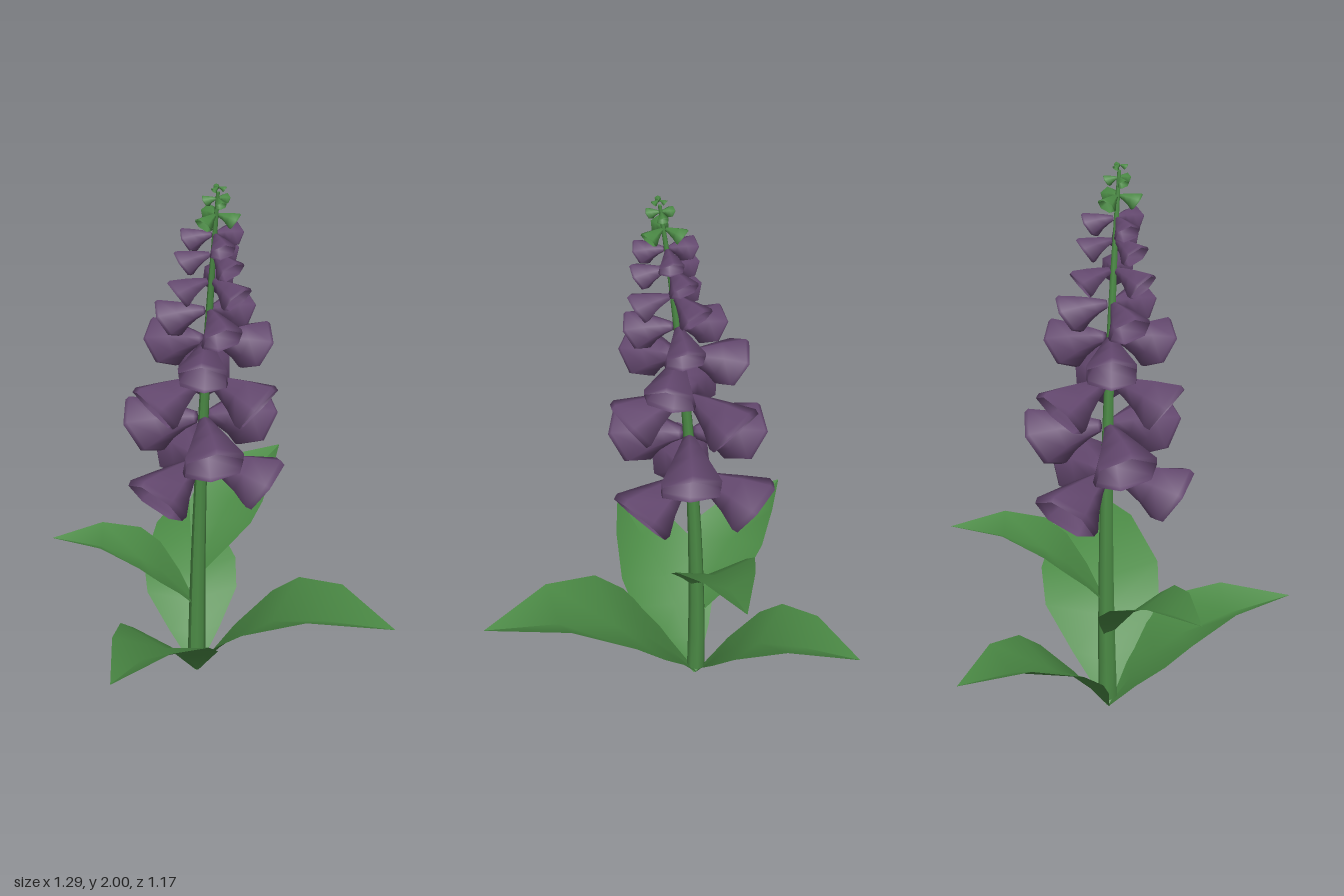
import * as THREE from 'three';

const green = new THREE.MeshStandardMaterial({ color: 0x4b8a45, side: THREE.DoubleSide });
green.name = 'leafGreen';
const purple = new THREE.MeshStandardMaterial({ color: 0x64486f, side: THREE.DoubleSide });
purple.name = 'petalPurple';

// Centre line of the leaning stem
function stemAt(y) {
  const t = y / 2;
  return new THREE.Vector3(-0.15 - 0.01 * t + 0.15 * t * t, y, -0.055 - 0.04 * t + 0.07 * t * t);
}

// Skin a list of equally long point rows into a smooth surface
function skin(rows, closed) {
  const n = rows[0].length, index = [];
  for (let i = 0; i < rows.length - 1; i++) {
    for (let j = 0; j < (closed ? n : n - 1); j++) {
      const k = (j + 1) % n;
      const a = i * n + j, b = i * n + k, c = a + n, d = b + n;
      index.push(a, c, b, b, c, d);
    }
  }
  const g = new THREE.BufferGeometry().setFromPoints(rows.flat());
  g.setIndex(index);
  g.computeVertexNormals();
  return g;
}

// Arching leaf along +x with a sunken midrib: reach, midrib height, edge height, half width
function leafGeometry() {
  const stations = [
    [0, 0, 0, 0.008], [0.1, 0.135, 0.17, 0.12], [0.21, 0.255, 0.31, 0.21],
    [0.32, 0.335, 0.405, 0.217], [0.535, 0.415, 0.49, 0.14], [0.81, 0.475, 0.475, 0.001],
  ];
  return skin(stations.map(([x, mid, edge, w]) => [
    new THREE.Vector3(x, edge, w), new THREE.Vector3(x, mid, 0), new THREE.Vector3(x, edge, -w),
  ]), false);
}

// Six-sided drooping bell along +x, closed at the stem: reach, drop, radius, tilt of each ring
function bellGeometry() {
  const rings = [
    [0.022, 0.014, 0.001, 10], [0.026, 0.013, 0.022, 12], [0.075, 0.001, 0.042, 18],
    [0.138, -0.019, 0.072, 26], [0.204, -0.045, 0.11, 35], [0.22, -0.056, 0.106, 35],
  ];
  return skin(rings.map(([x, y, r, deg]) => {
    const tilt = THREE.MathUtils.degToRad(deg);
    return Array.from({ length: 6 }, (_, i) => {
      const a = i * Math.PI / 3;
      const up = r * Math.cos(a);
      return new THREE.Vector3(x + up * Math.sin(tilt), y + up * Math.cos(tilt), -r * Math.sin(a));
    });
  }), true);
}

export function createModel() {
  const model = new THREE.Group();
  model.name = 'floweringPlant';

  // Stem: tapered cylinder bent onto the centre line
  const stemGeo = new THREE.CylinderGeometry(0.006, 0.034, 1.93, 8, 12);
  stemGeo.translate(0, 1.015, 0);
  const pos = stemGeo.attributes.position;
  for (let i = 0; i < pos.count; i++) {
    const c = stemAt(pos.getY(i));
    pos.setX(i, pos.getX(i) + c.x);
    pos.setZ(i, pos.getZ(i) + c.z);
  }
  stemGeo.computeVertexNormals();
  const stem = new THREE.Mesh(stemGeo, green);
  stem.name = 'stem';
  model.add(stem);

  // Leaves: tip x, tip z, base height, scale
  const leafGeo = leafGeometry();
  const leaves = [
    [0.64, -0.225, 0.01, 1], [0.05, 0.585, 0.005, 0.825], [-0.645, -0.495, 0.005, 0.82],
    [-0.52, 0.295, 0.3, 0.65], [-0.21, -0.585, 0.44, 0.66],
  ];
  leaves.forEach(([x, z, y, s], i) => {
    const leaf = new THREE.Mesh(leafGeo, green);
    leaf.name = 'leaf' + (i + 1);
    leaf.position.copy(stemAt(y));
    leaf.rotation.y = -Math.atan2(z - leaf.position.z, x - leaf.position.x);
    leaf.scale.setScalar(s);
    model.add(leaf);
  });

  // Flower whorls of three: top height, scale, turn; the last three are green buds
  const bellGeo = bellGeometry();
  const tiers = [
    [0.975, 1.07, 90], [1.15, 1.05, 38], [1.305, 0.95, 106], [1.455, 0.85, 52],
    [1.565, 0.67, 30], [1.675, 0.54, 0], [1.77, 0.46, 12], [1.84, 0.41, 30],
    [1.908, 0.29, 88], [1.962, 0.18, 30], [2.0, 0.1, 90],
  ];
  tiers.forEach(([top, s, turn], i) => {
    const bud = i > 7;
    const whorl = new THREE.Group();
    whorl.name = (bud ? 'budWhorl' : 'flowerWhorl') + (i + 1);
    whorl.position.copy(stemAt(top - 0.045 * s));
    for (let j = 0; j < 3; j++) {
      const bell = new THREE.Mesh(bellGeo, bud ? green : purple);
      bell.name = bud ? 'bud' : 'bellFlower';
      bell.rotation.y = -THREE.MathUtils.degToRad(turn + 120 * j);
      bell.scale.setScalar(s);
      whorl.add(bell);
    }
    model.add(whorl);
  });

  return model;
}
